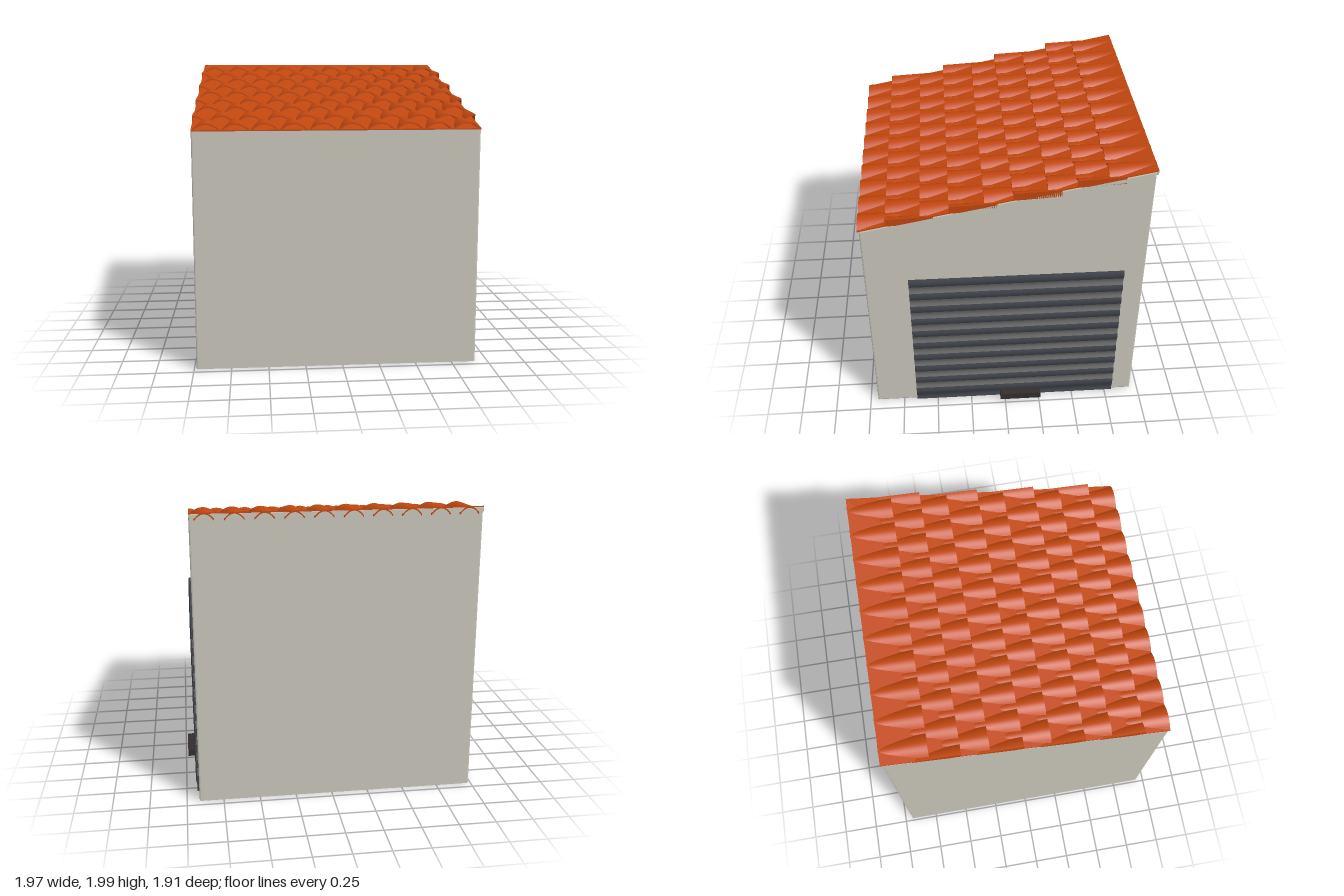
import * as THREE from 'three';
import { mergeGeometries, toCreasedNormals } from 'three/addons/utils/BufferGeometryUtils.js';

const X0 = -0.985, X1 = 0.915, PITCH = 0.19;
const roofY = (z) => 1.79 - 0.201 * z; // sloping roof line
const mat = (color) => new THREE.MeshStandardMaterial({ color });

// Prism with a side profile of [z, y] points, running from x0 to x1
function sideExtrude(points, x0, x1, bevel) {
  const shape = new THREE.Shape(points.map(([z, y]) => new THREE.Vector2(z, y)));
  const geo = new THREE.ExtrudeGeometry(shape, {
    depth: x1 - x0 - 2 * bevel, bevelEnabled: bevel > 0,
    bevelSize: bevel, bevelThickness: bevel, bevelOffset: -bevel, bevelSegments: 2,
  });
  return geo.rotateY(-Math.PI / 2).translate(x1 - bevel, 0, 0);
}

// Curved roof tile: an arched shell, wide at its front and narrow behind
function tileGeometry(cx, zFront, length) {
  const n = 10, half = 0.089, rise = 0.042, thick = 0.01, pts = [];
  const arch = (u) => rise * (1 - u * u);
  for (let i = 0; i <= n; i++) {
    const u = 1 - (2 * i) / n;
    pts.push(new THREE.Vector2(u * half, arch(u)));
  }
  for (let i = 0; i <= n; i++) {
    const u = -1 + (2 * i) / n;
    pts.push(new THREE.Vector2(u * half * 0.97, arch(u) - thick));
  }
  let geo = new THREE.ExtrudeGeometry(new THREE.Shape(pts), { depth: length, bevelEnabled: false });
  const p = geo.attributes.position;
  const base = roofY(zFront) + 0.01;
  for (let i = 0; i < p.count; i++) {
    const back = length - p.getZ(i);
    const x = cx + p.getX(i) * (1 - 0.9 * back);
    // tiles at the side edges are cut flush with the walls
    p.setXYZ(i, THREE.MathUtils.clamp(x, X0, X1), base + p.getY(i) + 0.055 * back, zFront - back);
  }
  geo = toCreasedNormals(geo, 0.6);
  geo.deleteAttribute('uv');
  return geo;
}

export function createModel() {
  const model = new THREE.Group();
  const add = (parent, name, geo, material) => {
    const mesh = new THREE.Mesh(geo, material);
    mesh.name = name;
    parent.add(mesh);
    return mesh;
  };

  // Walls: one solid block with a sloping top
  const wallMat = mat(0xc9c6ba);
  add(model, 'walls', sideExtrude([
    [-0.945, 0], [-0.945, roofY(-0.945)], [0.945, roofY(0.945)], [0.945, 0],
  ].reverse(), X0, X1, 0.01), wallMat);
  add(model, 'backFascia', new THREE.BoxGeometry(X1 - X0, 0.026, 0.012), wallMat)
    .position.set((X0 + X1) / 2, 1.967, -0.95);

  // Roof: sheet below, staggered rows of tiles above
  const roof = new THREE.Group();
  roof.name = 'roof';
  model.add(roof);
  const roofMat = mat(0xc2470e);
  const edge = 0.956;
  add(roof, 'roofSheet', sideExtrude([
    [edge, roofY(edge)], [edge, roofY(edge) + 0.008],
    [-edge, roofY(-edge) + 0.008], [-edge, roofY(-edge)],
  ], X0, X1, 0), roofMat);
  const rowFronts = [0.957, 0.775, 0.55, 0.365, 0.14, -0.045, -0.265, -0.45, -0.65];
  rowFronts.forEach((z, row) => {
    const odd = row % 2;
    const tiles = [];
    for (let k = 0; k < 10 + odd; k++) {
      tiles.push(tileGeometry(X0 + PITCH * (k + (odd ? 0 : 0.5)), z, Math.min(0.31, z + 0.958)));
    }
    add(roof, 'tileRow' + (row + 1), mergeGeometries(tiles), roofMat);
  });

  // Roller door: alternating bulging and hollow slats
  const door = new THREE.Group();
  door.name = 'rollerDoor';
  model.add(door);
  const darkMat = mat(0x3f444b), greyMat = mat(0x6c6c6c);
  const slats = 20, slatH = 1.17 / slats;
  for (let i = 0; i < slats; i++) {
    const dark = i % 2 === 1 || i === 0;
    const geo = new THREE.BoxGeometry(0.02, slatH, 1.46, 1, 6, 1);
    const p = geo.attributes.position;
    for (let j = 0; j < p.count; j++) {
      if (p.getX(j) < 0) continue;
      const bow = 0.007 * Math.cos((Math.PI * p.getY(j)) / slatH);
      p.setX(j, p.getX(j) + (i % 2 ? bow : -bow));
    }
    geo.computeVertexNormals();
    add(door, 'slat' + (i + 1), geo, dark ? darkMat : greyMat)
      .position.set(0.918, 0.005 + slatH * (i + 0.5), -0.075);
  }

  // Door handle
  add(door, 'doorHandle', new THREE.BoxGeometry(0.07, 0.052, 0.297), mat(0x332d2d))
    .position.set(0.95, 0.044, -0.112);

  return model;
}
